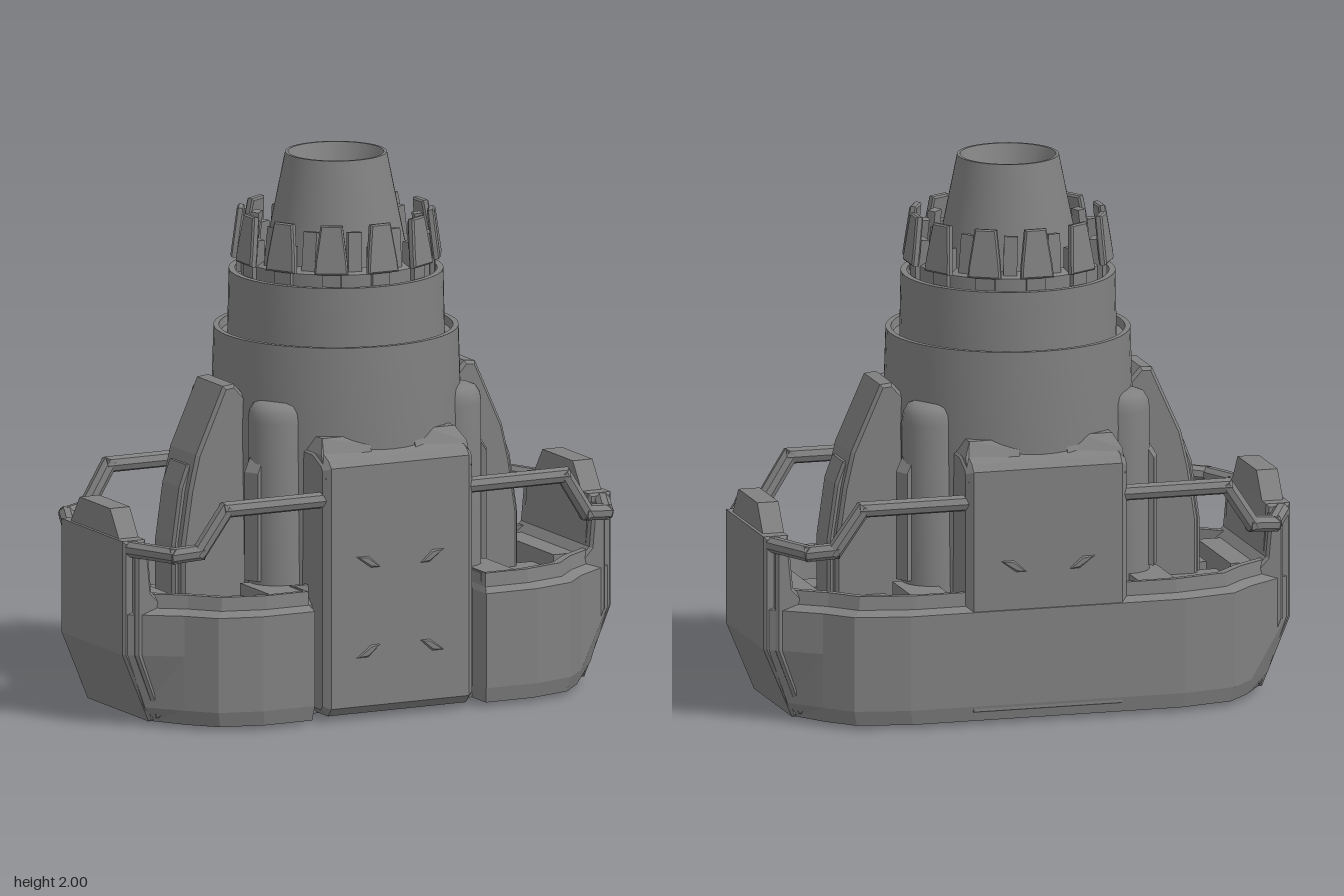
import * as THREE from 'three';
import { toCreasedNormals } from 'three/addons/utils/BufferGeometryUtils.js';

const V = (x, y, z) => new THREE.Vector3(x, y, z);

export function createModel() {
  const model = new THREE.Group();
  const flat = new THREE.MeshStandardMaterial({ color: 0x808080, flatShading: true });
  const smooth = new THREE.MeshStandardMaterial({ color: 0x808080 });

  function add(name, geometry, material = flat, parent = model) {
    const mesh = new THREE.Mesh(geometry, material);
    mesh.name = name;
    parent.add(mesh);
    return mesh;
  }

  function box(name, w, h, d, x, y, z) {
    const mesh = add(name, new THREE.BoxGeometry(w, h, d));
    mesh.position.set(x, y, z);
    return mesh;
  }

  // Extruded outline, centred on its depth, with an optional bevel kept inside the outline
  function prism(points, depth, bevel = 0) {
    const shape = new THREE.Shape(points.map(([x, y]) => new THREE.Vector2(x, y)));
    const g = new THREE.ExtrudeGeometry(shape, {
      depth: depth - 2 * bevel, bevelEnabled: bevel > 0, bevelThickness: bevel,
      bevelSize: bevel, bevelOffset: -bevel, bevelSegments: 1,
    });
    return g.translate(0, 0, bevel - depth / 2);
  }

  // Faceted bar between two points
  function bar(name, a, b, r) {
    const dir = b.clone().sub(a);
    const mesh = add(name, new THREE.CylinderGeometry(r, r, dir.length() + r, 8));
    mesh.position.copy(a).add(b).multiplyScalar(0.5);
    mesh.quaternion.setFromUnitVectors(V(0, 1, 0), dir.normalize());
  }

  // Closed solid through horizontal rings that share one point order
  function loft(rings) {
    const pos = [];
    const tri = (a, b, c) => pos.push(...a, ...b, ...c);
    for (let k = 0; k < rings.length - 1; k++) {
      const lo = rings[k], hi = rings[k + 1];
      lo.forEach((a, i) => {
        const j = (i + 1) % lo.length;
        tri(a, lo[j], hi[j]);
        tri(a, hi[j], hi[i]);
      });
    }
    const cap = (ring, up) => {
      const outline = ring.map(p => new THREE.Vector2(p[0], -p[2]));
      for (const [a, b, c] of THREE.ShapeUtils.triangulateShape(outline, [])) {
        if (up) tri(ring[a], ring[b], ring[c]);
        else tri(ring[a], ring[c], ring[b]);
      }
    };
    cap(rings[0], false);
    cap(rings[rings.length - 1], true);
    const g = new THREE.BufferGeometry();
    g.setAttribute('position', new THREE.Float32BufferAttribute(pos, 3));
    g.computeVertexNormals();
    return g;
  }

  // Hull: tub with a slot at the front, cut corners, sloped ends and a recessed underside
  function hullRing(y, end, inset) {
    const half = [[0.35, 0.40], [0.35, 0.51], [0.56, 0.51], [0.72, 0.465], [0.81, 0.37], [end, 0.25],
      [end, -0.25], [0.81, -0.37], [0.72, -0.465], [0.52, -0.51]];
    const shrink = ([x, z]) => [
      x > 0.4 ? x - inset : x + inset * 0.4, y, z - Math.sign(z) * inset];
    const right = half.map(shrink);
    return [...right, ...right.slice().reverse().map(([x, h, z]) => [-x, h, z])];
  }
  add('hull', loft([
    hullRing(0.06, 0.89, 0.07), hullRing(0.015, 0.89, 0.055), hullRing(0.015, 0.89, 0.012),
    hullRing(0.07, 0.91, 0), hullRing(0.27, 0.98, 0), hullRing(0.42, 0.98, 0),
    hullRing(0.44, 0.98, 0.025), hullRing(0.49, 0.98, 0.03),
    hullRing(0.49, 0.98, 0.05), hullRing(0.31, 0.96, 0.06),
  ]));

  // Underside cross and hub
  box('undersideBar', 1.6, 0.04, 0.1, 0, 0.045, 0);
  box('undersideCrossBar', 0.3, 0.04, 0.84, 0, 0.045, 0);
  add('undersideHub', new THREE.CylinderGeometry(0.15, 0.13, 0.06, 8)).position.y = 0.03;

  // Central tower with stepped collars and a hollow nozzle
  const towerProfile = [
    [0, 0.06], [0.44, 0.06], [0.455, 1.03], [0.445, 1.36], [0.425, 1.36], [0.42, 1.33],
    [0.395, 1.33], [0.39, 1.57], [0.367, 1.57], [0.362, 1.5], [0.345, 1.5], [0.345, 1.61],
    [0.31, 1.63], [0.3, 1.6], [0.265, 1.6], [0.185, 2], [0.174, 2], [0.02, 1.6], [0, 1.6],
  ].map(([r, y]) => new THREE.Vector2(r, y));
  add('tower', toCreasedNormals(new THREE.LatheGeometry(towerProfile, 56), 0.5), smooth);

  // Ring of tapered petals with posts between them
  const petal = prism([[-0.062, 0], [0.062, 0], [0.058, 0.05], [0.04, 0.18], [-0.04, 0.18], [-0.058, 0.05]], 0.028, 0.006);
  for (let i = 0; i < 12; i++) {
    const spoke = new THREE.Group();
    spoke.name = 'petalUnit';
    spoke.rotation.y = (i * Math.PI) / 6;
    model.add(spoke);
    const p = add('petal', petal, flat, spoke);
    p.position.set(0, 1.615, 0.368);
    p.rotation.x = -0.13;
    const foot = add('petalFoot', new THREE.BoxGeometry(0.07, 0.15, 0.05), flat, spoke);
    foot.position.set(0, 1.63, 0.335);
    const post = add('petalPost', new THREE.BoxGeometry(0.05, 0.2, 0.03), flat, spoke);
    post.position.set(0.08, 1.66, 0.3);
    post.rotation.set(-0.1, Math.PI / 12, 0);
  }

  // Front and back blocks, each with two raised cheeks and small bevelled marks
  const blockSide = [[0.1, 0.02], [0.48, 0.02], [0.508, 0.05], [0.508, 0.94], [0.485, 0.965], [0.41, 1.0], [0.1, 1.0]];
  const cheekFront = [[0.09, 0.9], [0.297, 0.9], [0.297, 0.985], [0.27, 1.035], [0.15, 1.035], [0.09, 1.0]];
  const mark = [[0.08, 0.56], [0.12, 0.56], [0.18, 0.605], [0.13, 0.605]];
  for (const side of [0, 1]) {
    const block = new THREE.Group();
    block.name = side ? 'backBlock' : 'frontBlock';
    block.rotation.y = side * Math.PI;
    model.add(block);
    add('blockBody', prism(blockSide, 0.61, 0.024).rotateY(-Math.PI / 2), flat, block);
    for (const s of [-1, 1]) {
      // Lean the front of each cheek back towards its top
      const cheek = prism(cheekFront.map(([x, y]) => [s * x, y]), 0.2);
      const p = cheek.attributes.position;
      for (let i = 0; i < p.count; i++) {
        if (p.getZ(i) > 0) p.setZ(i, 0.1 - Math.max(0, p.getY(i) - 0.945) * 0.9);
      }
      add('blockCheek', cheek, flat, block).position.z = 0.395;
      for (const low of side ? [false] : [false, true]) {
        const outline = mark.map(([x, y]) => [s * x, low ? 0.835 - y : y]);
        add('blockMark', prism(outline, 0.02, 0.007), flat, block).position.z = 0.504;
      }
    }
  }

  // Side fins, end panels with a set-back frame, and end tabs
  const fin = [[0.38, 0.3], [0.685, 0.3], [0.685, 0.62], [0.655, 0.82], [0.625, 0.95], [0.515, 1.195], [0.47, 1.2], [0.38, 1.1]];
  const finPlate = [[0.6, 0.3], [0.705, 0.3], [0.705, 0.62], [0.675, 0.83], [0.645, 0.91], [0.6, 0.91]];
  const endPanel = [[0.8, 0.015], [0.89, 0.015], [0.997, 0.27], [0.997, 0.69], [0.905, 0.69], [0.895, 0.5], [0.85, 0.35]];
  const endFrame = [[0.8, 0.03], [0.87, 0.03], [0.96, 0.27], [0.96, 0.66], [0.91, 0.66], [0.895, 0.5], [0.8, 0.4]];
  const tab = [[-0.19, 0], [0.19, 0], [0.12, 0.1], [-0.12, 0.1]];
  for (const side of [0, 1]) {
    const end = new THREE.Group();
    end.name = side ? 'rightEnd' : 'leftEnd';
    end.rotation.y = side * Math.PI;
    model.add(end);
    add('sideFin', prism(fin, 0.225, 0.012), flat, end);
    add('finPlate', prism(finPlate, 0.15, 0.01), flat, end);
    add('endPanel', prism(endPanel, 0.5, 0.01), flat, end);
    add('endFrame', prism(endFrame, 0.56, 0.01), flat, end);
    const t = add('endTab', prism(tab, 0.08).rotateY(Math.PI / 2), flat, end);
    t.position.set(0.945, 0.69, 0);
  }

  // Parts repeated in each quarter: pod, pod rib, deck steps and guard rail
  const podProfile = [[0, 0.3], [0.105, 0.3], [0.105, 1.08], [0.1, 1.115], [0.085, 1.14], [0.06, 1.15], [0, 1.152]]
    .map(([r, y]) => new THREE.Vector2(r, y));
  const podGeometry = toCreasedNormals(new THREE.LatheGeometry(podProfile, 20), 0.7);
  const rib = [[0, 0.5], [0.045, 0.5], [0.045, 0.9], [0, 0.97]];
  for (const sx of [-1, 1]) {
    box('endStep', 0.12, 0.16, 0.42, sx * 0.84, 0.39, 0);
    for (const sz of [-1, 1]) {
      add('pod', podGeometry, smooth).position.set(sx * 0.36, 0, sz * 0.225);
      const r = add('podRib', prism(rib, 0.06));
      r.position.set(sx * 0.44, 0, sz * 0.24);
      r.rotation.y = Math.atan2(-sz * 0.5, sx);
      box('deckStep', 0.27, 0.14, 0.14, sx * 0.635, 0.35, sz * 0.13);
      box('deckCorner', 0.14, 0.18, 0.24, sx * 0.43, 0.395, sz * 0.33);

      const path = [[0.28, 0.82, 0.465], [0.69, 0.82, 0.465], [0.79, 0.67, 0.45], [0.88, 0.66, 0.425], [0.965, 0.66, 0.235]]
        .map(([x, y, z]) => V(sx * x, y, sz * z));
      for (let i = 0; i < path.length - 1; i++) bar('guardRail', path[i], path[i + 1], 0.03);
    }
  }
  return model;
}
